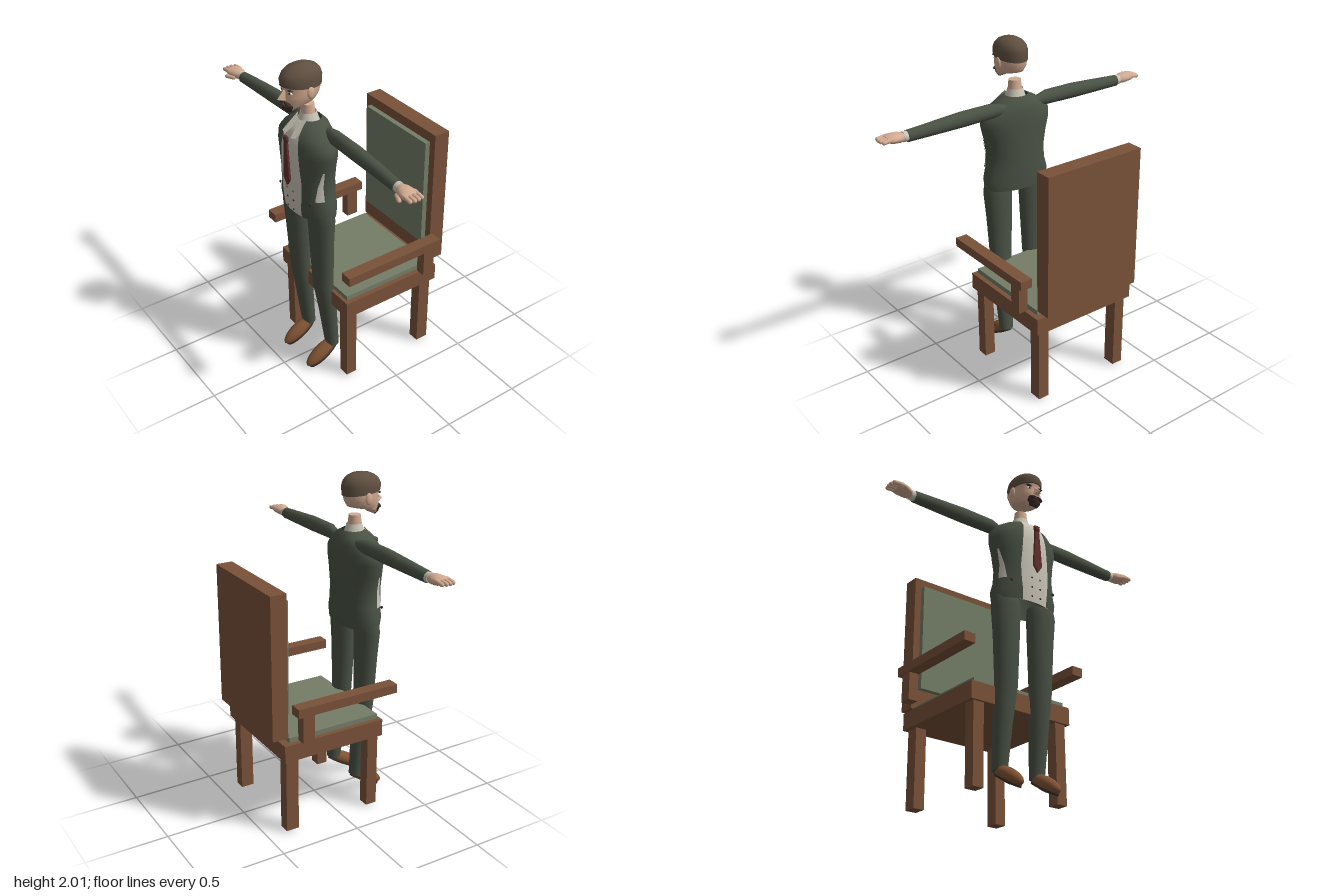
import * as THREE from 'three';
import { ConvexGeometry } from 'three/addons/geometries/ConvexGeometry.js';

const mat = (name, color, side = THREE.FrontSide) => {
  const m = new THREE.MeshStandardMaterial({ color, side });
  m.name = name;
  return m;
};

// Skin over rings { y, w, f, b, cx, tilt }: w is half width, f and b the front and back z,
// tilt lifts the front. a0/a1 give the angle range per ring for open panels.
function loft(rings, { a0, a1, seg = 28, grow = 0 } = {}) {
  const open = !!a1;
  const list = open ? rings : [
    { ...rings[0], k: 0 }, rings[0], rings[0],
    ...rings.slice(1),
    rings.at(-1), { ...rings.at(-1), k: 0 }];
  const cols = open ? seg + 1 : seg, pos = [], idx = [];
  for (const r of list) {
    const { y, w, f, b, cx = 0, tilt = 0, k = 1 } = r;
    for (let j = 0; j < cols; j++) {
      const s = open ? a0(r) : 0, e = open ? a1(r) : Math.PI * 2;
      const t = s + (e - s) * j / seg;
      pos.push(cx + k * (w + grow) * Math.sin(t), y + k * tilt * Math.cos(t),
        (f + b) / 2 + k * ((f - b) / 2 + grow) * Math.cos(t));
    }
  }
  for (let i = 0; i < list.length - 1; i++) for (let j = 0; j < seg; j++) {
    const n = open ? j + 1 : (j + 1) % seg;
    const a = i * cols + j, b = i * cols + n, c = b + cols, d = a + cols;
    idx.push(a, b, c, a, c, d);
  }
  const g = new THREE.BufferGeometry();
  g.setAttribute('position', new THREE.Float32BufferAttribute(pos, 3));
  g.setIndex(idx);
  g.computeVertexNormals();
  return g;
}
const R = (y, w, f, b, cx = 0, tilt = 0) => ({ y, w, f, b, cx, tilt });

// Copy of an indexed geometry reflected to the other side
function mirrored(g) {
  const m = g.clone().scale(-1, 1, 1), a = m.index.array;
  for (let i = 0; i < a.length; i += 3) [a[i], a[i + 1]] = [a[i + 1], a[i]];
  return m;
}
const ball = (x, y, z, sx, sy, sz, rz = 0) =>
  new THREE.SphereGeometry(1, 16, 12).scale(sx, sy, sz).rotateZ(rz).translate(x, y, z);
const block = (x0, x1, y0, y1, z0, z1) => new THREE.BoxGeometry(x1 - x0, y1 - y0, z1 - z0)
  .translate((x0 + x1) / 2, (y0 + y1) / 2, (z0 + z1) / 2);

export function createModel() {
  const wood = mat('wood', 0x7a5239), pad = mat('cushion green', 0x747d68);
  const suit = mat('suit', 0x495144, THREE.DoubleSide), shirt = mat('shirt', 0xcbc6b8, THREE.DoubleSide);
  const skin = mat('skin', 0xd3ab92), hair = mat('hair', 0x5f4f40), dark = mat('dark brown', 0x3b3029);
  const red = mat('tie red', 0x60302d), leather = mat('shoe leather', 0x7f5233), white = mat('eye white', 0xe6e2da);

  const root = new THREE.Group(), chair = new THREE.Group(), man = new THREE.Group();
  chair.name = 'chair';
  man.name = 'man';
  root.add(chair, man);
  const add = (parent, name, g, m) => {
    const mesh = new THREE.Mesh(g, m);
    mesh.name = name;
    parent.add(mesh);
    return mesh;
  };
  const pair = (parent, name, g, m) => {
    add(parent, name + 'Left', g, m);
    add(parent, name + 'Right', mirrored(g), m);
  };

  // Chair
  add(chair, 'seatFrame', block(-0.35, 0.35, 0.475, 0.58, -0.4, 0.265), wood);
  add(chair, 'seatCushion', block(-0.32, 0.32, 0.58, 0.61, -0.355, 0.245), pad);
  add(chair, 'backFrame', block(-0.325, 0.325, 0.615, 1.485, -0.465, -0.365), wood);
  add(chair, 'backCushion', block(-0.28, 0.28, 0.74, 1.425, -0.365, -0.333), pad);
  pair(chair, 'frontLeg', block(0.255, 0.325, 0, 0.475, 0.18, 0.25), wood);
  pair(chair, 'rearLeg', block(0.255, 0.325, 0, 0.475, -0.38, -0.3), wood);
  pair(chair, 'armSupport', block(0.36, 0.42, 0.61, 0.78, -0.32, -0.245), wood);
  pair(chair, 'armrest', block(0.355, 0.43, 0.78, 0.835, -0.355, 0.305), wood);

  // Jacket, open at the front by half width g, over the shirt
  const torso = [
    [1.10, 0.213, 0.398, 0.165, 0.085], [1.16, 0.221, 0.405, 0.16, 0.088], [1.23, 0.2, 0.41, 0.158, 0.096],
    [1.32, 0.192, 0.412, 0.156, 0.1], [1.42, 0.21, 0.412, 0.155, 0.092], [1.5, 0.232, 0.408, 0.155, 0.085],
    [1.55, 0.228, 0.402, 0.156, 0.078], [1.6, 0.185, 0.39, 0.16, 0.066], [1.64, 0.128, 0.36, 0.17, 0.055],
    [1.67, 0.07, 0.325, 0.2, 0.04],
  ].map(([y, w, f, b, g]) => ({ ...R(y, w, f, b), g }));
  const gap = r => Math.asin(r.g / r.w);
  add(man, 'jacket', loft(torso, { a0: gap, a1: r => Math.PI * 2 - gap(r), seg: 40 }), suit);
  add(man, 'shirtFront', loft(torso, { a0: r => -gap(r) - 0.12, a1: r => gap(r) + 0.12, seg: 16, grow: -0.002 }), shirt);
  const slit = [[1.23, 1, 1.38], [1.32, 1.14, 1.37], [1.42, 1.28, 1.36]].map(([y, s, e]) =>
    ({ ...torso.find(r => r.y === y), s, e }));
  pair(man, 'sideOpening', loft(slit, { a0: r => r.s, a1: r => r.e, seg: 6, grow: 0.004 }), shirt);
  pair(man, 'jacketButton', ball(0.155, 1.21, 0.375, 0.009, 0.009, 0.006), dark);
  for (let i = 0; i < 3; i++)
    pair(man, 'shirtButton', ball(0.03, 1.13 + i * 0.06, 0.406, 0.006, 0.006, 0.004), dark);

  // Collar and tie
  add(man, 'collar', new THREE.CylinderGeometry(0.045, 0.063, 0.06, 24, 1, true).translate(0, 1.675, 0.272), shirt);
  pair(man, 'collarFlap', new THREE.BufferGeometry().setFromPoints([
    [0.005, 1.65, 0.345], [0.05, 1.69, 0.305], [0.065, 1.6, 0.4], [0.03, 1.59, 0.412],
  ].map(p => new THREE.Vector3(...p))).setIndex([0, 3, 2, 0, 2, 1]), shirt);
  man.children.filter(c => c.name.startsWith('collarFlap')).forEach(c => c.geometry.computeVertexNormals());
  const tie = new THREE.Shape([[-0.02, 1.595], [-0.014, 1.555], [-0.03, 1.33], [0, 1.285], [0.03, 1.33],
    [0.014, 1.555], [0.02, 1.595]].map(p => new THREE.Vector2(...p)));
  add(man, 'tie', new THREE.ExtrudeGeometry(tie, { depth: 0.012, bevelEnabled: false }).translate(0, 0, 0.416), red);
  add(man, 'tieKnot', ball(0, 1.578, 0.422, 0.022, 0.022, 0.013), red);

  // Trousers and shoes
  pair(man, 'trouserLeg', loft([R(0.12, 0.045, 0.268, 0.185, 0.13), R(0.4, 0.06, 0.305, 0.2, 0.128),
    R(0.6, 0.071, 0.335, 0.222, 0.123), R(0.9, 0.084, 0.35, 0.22, 0.125), R(1.07, 0.093, 0.36, 0.215, 0.13),
    R(1.125, 0.088, 0.35, 0.222, 0.13)]), suit);
  const shoe = (g, dy) => g.translate(0, dy, 0).rotateX(0.53).translate(0.128, 0.078, 0.305);
  pair(man, 'shoe', shoe(new THREE.SphereGeometry(1, 20, 14).scale(0.045, 0.042, 0.125), 0), leather);
  pair(man, 'sole', shoe(new THREE.CylinderGeometry(1, 1, 0.012, 24).scale(0.042, 1, 0.118), -0.026), dark);

  // Sleeves, cuffs and hands: lofts laid along x, with cx as minus height
  const along = rings => loft(rings.map(([x, y, h, f, b]) => R(x, h, f, b, -y)), { seg: 20 }).rotateZ(Math.PI / 2)
    .scale(1, 1, 1);
  const limb = rings => {
    const g = loft(rings.map(([x, y, h, f, b]) => R(x, h, f, b, -y)), { seg: 20 });
    return g.rotateZ(-Math.PI / 2);
  };
  pair(man, 'sleeve', limb([[0.11, 1.61, 0.028, 0.25, 0.2], [0.2, 1.613, 0.044, 0.272, 0.195],
    [0.4, 1.61, 0.046, 0.275, 0.195], [0.55, 1.604, 0.041, 0.275, 0.2], [0.75, 1.595, 0.034, 0.276, 0.21]]), suit);
  pair(man, 'cuff', limb([[0.74, 1.596, 0.03, 0.272, 0.214], [0.775, 1.597, 0.03, 0.272, 0.214]]), shirt);
  pair(man, 'palm', limb([[0.765, 1.597, 0.022, 0.266, 0.22], [0.8, 1.6, 0.03, 0.288, 0.205],
    [0.845, 1.602, 0.027, 0.3, 0.2], [0.875, 1.604, 0.016, 0.298, 0.203]]), skin);
  for (let i = 0; i < 4; i++)
    pair(man, 'finger', new THREE.CapsuleGeometry(0.012, 0.055, 4, 10).rotateZ(Math.PI / 2 - 0.12)
      .translate(0.877 + (i === 1 || i === 2 ? 0.006 : 0), 1.606, 0.214 + i * 0.024), skin);
  pair(man, 'thumb', new THREE.CapsuleGeometry(0.012, 0.05, 4, 10).rotateZ(Math.PI / 2).rotateY(-0.45)
    .translate(0.822, 1.585, 0.296), skin);

  // Neck and head
  add(man, 'neck', loft([R(1.65, 0.05, 0.322, 0.225), R(1.7, 0.042, 0.315, 0.235), R(1.755, 0.037, 0.31, 0.24)]), skin);
  add(man, 'head', loft([R(1.753, 0.028, 0.405, 0.36, 0, -0.01), R(1.777, 0.052, 0.416, 0.325, 0, -0.02),
    R(1.792, 0.068, 0.42, 0.228, 0, -0.014), R(1.815, 0.079, 0.425, 0.22, 0, -0.005), R(1.84, 0.087, 0.424, 0.21),
    R(1.87, 0.089, 0.418, 0.202), R(1.9, 0.088, 0.43, 0.2)]), skin);
  add(man, 'hair', loft([R(1.883, 0.09, 0.435, 0.195, 0, 0.012), R(1.925, 0.091, 0.44, 0.191),
    R(1.955, 0.083, 0.426, 0.2), R(1.978, 0.067, 0.4, 0.222), R(1.993, 0.042, 0.366, 0.255),
    R(2, 0.012, 0.33, 0.295)]), hair);
  pair(man, 'ear', ball(0.09, 1.858, 0.31, 0.011, 0.035, 0.022), skin);
  add(man, 'nose', new ConvexGeometry([[0.01, 1.872, 0.41], [-0.01, 1.872, 0.41], [0, 1.87, 0.425], [0, 1.826, 0.465],
    [0.021, 1.817, 0.42], [-0.021, 1.817, 0.42], [0, 1.812, 0.443]].map(p => new THREE.Vector3(...p))), skin);

  // Facial hair and eyes
  add(man, 'goatee', loft([R(1.75, 0.028, 0.41, 0.37, 0, -0.01), R(1.772, 0.044, 0.428, 0.365, 0, -0.012),
    R(1.787, 0.046, 0.43, 0.375, 0, -0.006)]), dark);
  pair(man, 'moustache', ball(0.024, 1.798, 0.416, 0.029, 0.011, 0.016, -0.3), dark);
  add(man, 'lips', ball(0, 1.787, 0.424, 0.018, 0.005, 0.01), red);
  pair(man, 'eye', ball(0.038, 1.86, 0.405, 0.017, 0.009, 0.007), white);
  pair(man, 'iris', ball(0.037, 1.86, 0.409, 0.007, 0.007, 0.005), dark);
  pair(man, 'eyebrow', ball(0.04, 1.878, 0.409, 0.023, 0.006, 0.009, 0.1), dark);

  return root;
}
